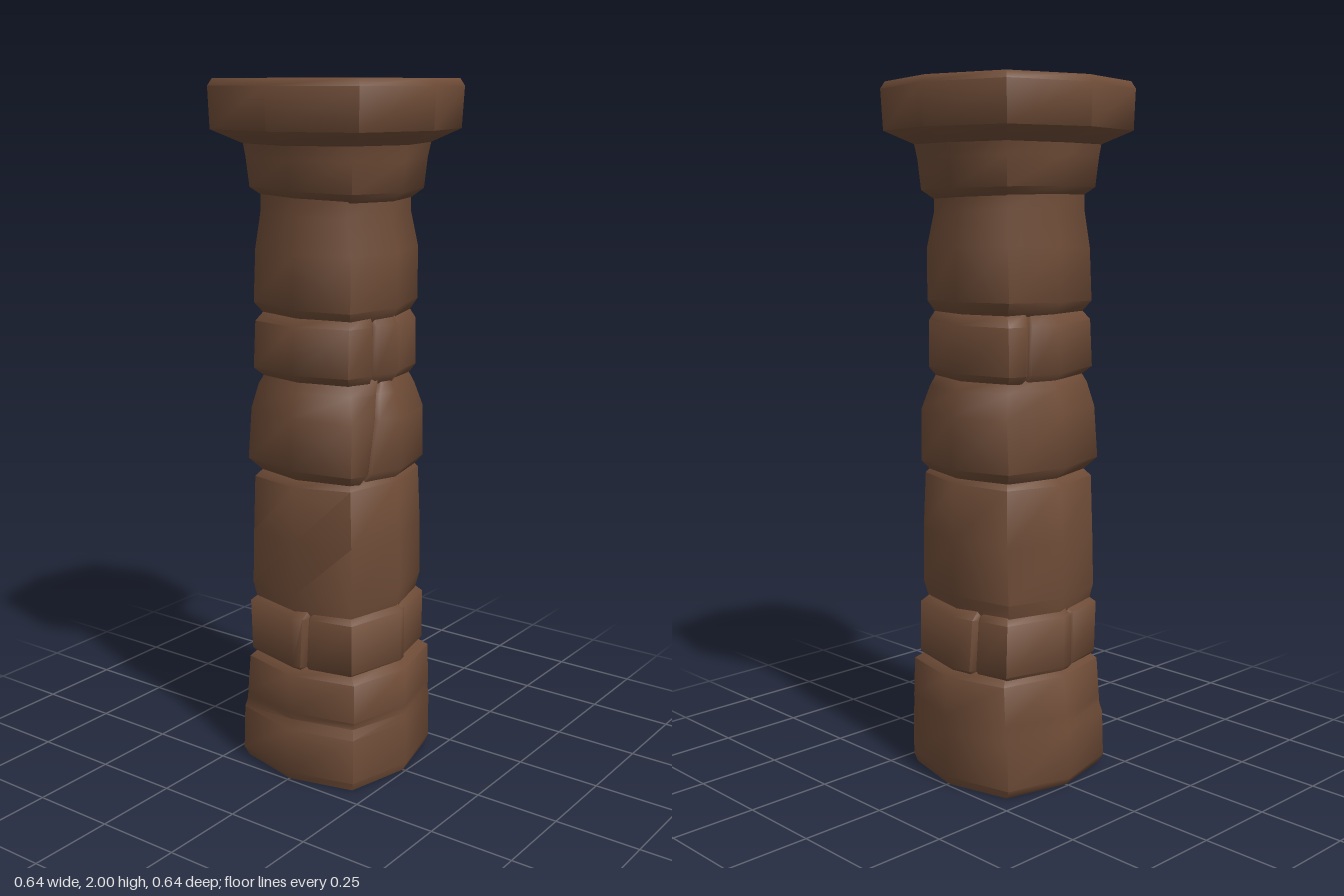
import * as THREE from 'three';
import { toCreasedNormals } from 'three/addons/utils/BufferGeometryUtils.js';

const stone = new THREE.MeshStandardMaterial({ color: 0x6f4c37 });
stone.name = 'brownStone';

// Point at perimeter position t (0 = front, 2 = +x side, 4 = back, 6 = -x side)
// of a squarish octagon with a half-extent for each side.
function outline(t, [, l, r, f, b], corner) {
  const vertex = (i) => {
    const k = ((i % 8) + 8) % 8;
    const x = k > 0 && k < 4 ? r : -l;
    const z = k > 2 && k < 6 ? -b : f;
    if (k % 4 === 0) return [0, z];
    if (k % 4 === 2) return [x, 0];
    return [x * corner, z * corner];
  };
  const i = Math.floor(t), u = t - i;
  const p = vertex(i), q = vertex(i + 1);
  return [p[0] + (q[0] - p[0]) * u, p[1] + (q[1] - p[1]) * u];
}

// One closed course of masonry. Rows: [y, left, right, front, back].
// Joints: [t, lean] cut leaning vertical grooves; dent(t, row) scales points.
function course(name, rows, { joints = [], dent = () => 1, tilt = 0, phase = 0, corner = 0.8 } = {}) {
  const pts = [];
  for (let i = 0; i < 8; i++) pts.push({ t: i, lean: 0, s: 1 });
  for (const [t, lean] of joints) {
    pts.push({ t: t - 0.07, lean, s: 1.02 }, { t, lean, s: 0.94 }, { t: t + 0.05, lean, s: 0.985 });
  }
  pts.sort((a, b) => a.t - b.t);

  const pos = [], index = [], n = pts.length, m = rows.length;
  rows.forEach((row, j) => {
    const h = j / (m - 1) - 0.5;
    for (const p of pts) {
      const t = p.t + p.lean * h;
      const [x, z] = outline(t, row, corner);
      const s = p.s * dent(p.t, j);
      pos.push(x * s, row[0] + tilt * Math.sin((t * Math.PI) / 4 + phase), z * s);
    }
  });
  for (let j = 0; j < m - 1; j++) {
    for (let i = 0; i < n; i++) {
      const k = (i + 1) % n;
      const a = j * n + i, b = j * n + k, c = a + n, d = b + n;
      index.push(a, b, d, a, d, c);
    }
  }
  // End faces
  const low = pos.length / 3, high = low + 1, top = (m - 1) * n;
  pos.push(0, rows[0][0], 0, 0, rows[m - 1][0], 0);
  for (let i = 0; i < n; i++) {
    const k = (i + 1) % n;
    index.push(low, k, i, high, top + i, top + k);
  }
  const geo = new THREE.BufferGeometry();
  geo.setAttribute('position', new THREE.Float32BufferAttribute(pos, 3));
  geo.setIndex(index);
  const mesh = new THREE.Mesh(toCreasedNormals(geo, 1.1), stone);
  mesh.name = name;
  return mesh;
}

export function createModel() {
  const column = new THREE.Group();
  column.name = 'stoneColumn';
  column.add(
    // Wide foot with a ledge worn into the front and +x sides
    course('base', [
      [0, 0.24, 0.24, 0.24, 0.24],
      [0.025, 0.257, 0.25, 0.25, 0.25],
      [0.16, 0.25, 0.25, 0.25, 0.25],
      [0.185, 0.245, 0.245, 0.24, 0.25],
      [0.21, 0.242, 0.247, 0.24, 0.25],
      [0.325, 0.23, 0.245, 0.238, 0.245],
      [0.35, 0.2, 0.21, 0.21, 0.21],
    ], { dent: (t, j) => (j === 3 && t < 2 ? 0.955 : 1) }),

    // Split blocks above the foot
    course('lowerBlocks', [
      [0.32, 0.2, 0.2, 0.2, 0.2],
      [0.35, 0.228, 0.225, 0.225, 0.232],
      [0.5, 0.23, 0.228, 0.23, 0.228],
      [0.525, 0.2, 0.2, 0.2, 0.2],
    ], { joints: [[0.25, 0.16], [2.15, -0.12], [4.45, 0.1], [6.25, -0.1]] }),

    // Tall plain drum
    course('tallDrum', [
      [0.5, 0.21, 0.21, 0.21, 0.2],
      [0.56, 0.225, 0.222, 0.22, 0.218],
      [0.72, 0.221, 0.217, 0.217, 0.22],
      [0.885, 0.214, 0.21, 0.214, 0.214],
      [0.91, 0.19, 0.19, 0.19, 0.19],
    ], { tilt: 0.006, dent: (t, j) => (j === 2 && t === 0 ? 0.97 : 1) }),

    // Bulging middle course with a diagonal crack
    course('middleBlocks', [
      [0.89, 0.19, 0.19, 0.19, 0.19],
      [0.93, 0.232, 0.222, 0.228, 0.224],
      [1.08, 0.22, 0.222, 0.222, 0.222],
      [1.15, 0.203, 0.198, 0.2, 0.2],
      [1.19, 0.18, 0.18, 0.18, 0.18],
    ], { joints: [[1.5, 0.5]], tilt: 0.006, phase: 2 }),

    // Split upper course
    course('upperBlocks', [
      [1.17, 0.18, 0.18, 0.18, 0.18],
      [1.2, 0.213, 0.2, 0.215, 0.203],
      [1.335, 0.207, 0.2, 0.21, 0.2],
      [1.37, 0.18, 0.18, 0.18, 0.18],
    ], { joints: [[1.55, 0], [2.12, 0.05], [5.4, 0.1]], tilt: 0.006, phase: 1 }),

    // Top drum narrowing to a neck
    course('topDrum', [
      [1.35, 0.18, 0.18, 0.18, 0.18],
      [1.39, 0.213, 0.205, 0.21, 0.203],
      [1.54, 0.206, 0.204, 0.206, 0.203],
      [1.64, 0.19, 0.182, 0.195, 0.188],
      [1.71, 0.19, 0.182, 0.192, 0.186],
    ], { tilt: 0.006, phase: 4 }),

    // Collar under the cap
    course('collar', [
      [1.68, 0.185, 0.185, 0.185, 0.185],
      [1.705, 0.218, 0.216, 0.218, 0.218],
      [1.79, 0.227, 0.225, 0.227, 0.226],
      [1.84, 0.235, 0.235, 0.235, 0.235],
    ], { tilt: 0.005, phase: 3 }),

    // Overhanging cap
    course('cap', [
      [1.82, 0.22, 0.22, 0.22, 0.22],
      [1.865, 0.316, 0.314, 0.316, 0.314],
      [1.98, 0.32, 0.32, 0.32, 0.32],
      [2.0, 0.308, 0.308, 0.308, 0.308],
    ], { corner: 0.79 }),
  );
  return column;
}
